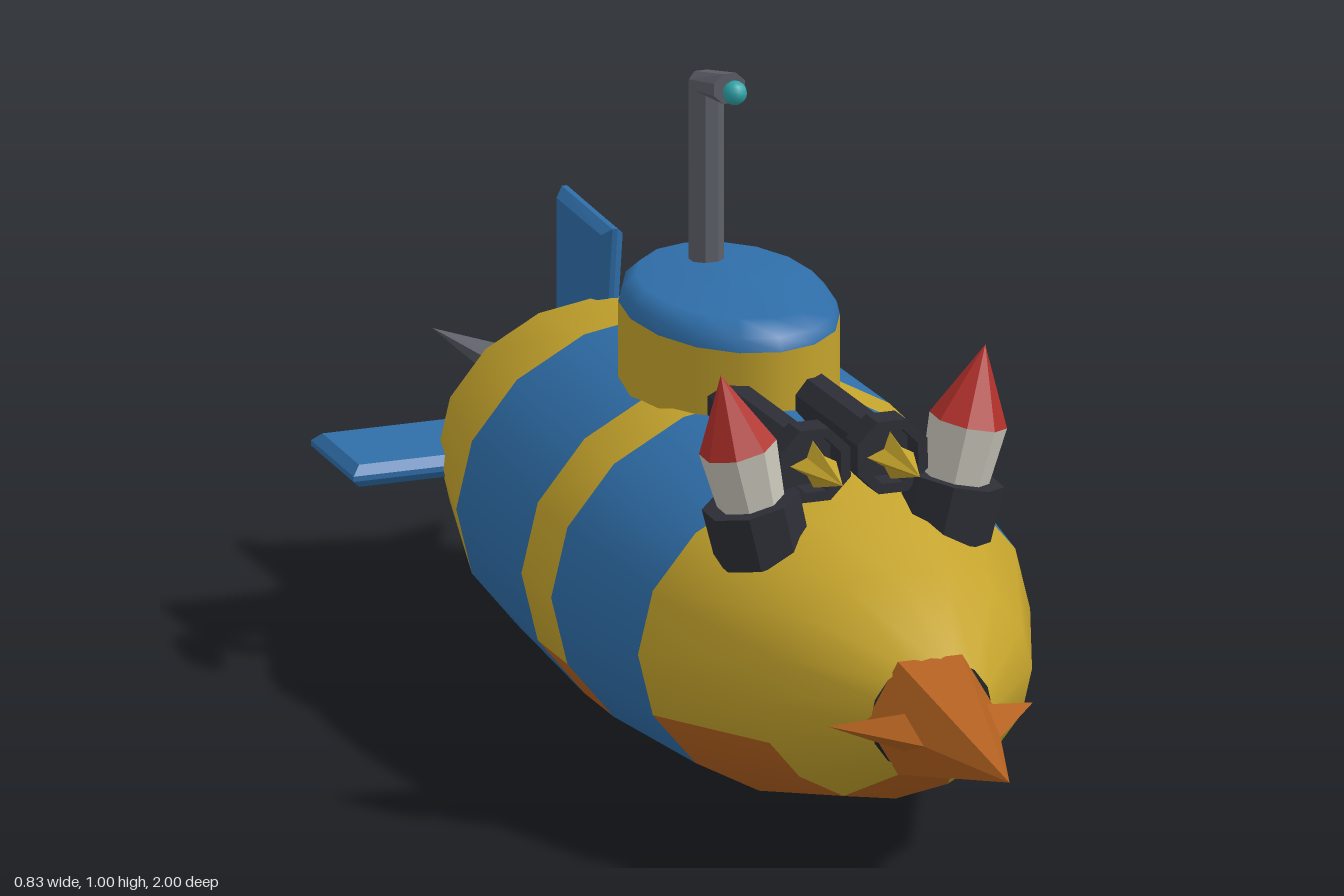
import * as THREE from 'three';
import { ConvexGeometry } from 'three/addons/geometries/ConvexGeometry.js';

const AXIS_Y = 0.28;
const V = (x, y, z) => new THREE.Vector3(x, y, z);
const paint = (color, flat = true, side = THREE.FrontSide) =>
  new THREE.MeshStandardMaterial({ color, flatShading: flat, side });

const YELLOW = 0xc4a32c, BLUE = 0x2f6ea9, ORANGE = 0xb3611f, DARK = 0x2d2e36;
const GREY = 0x5d6069, WHITE = 0xc9c5ba, RED = 0xb2302b, TEAL = 0x2fa3a8;

function add(parent, name, geometry, material) {
  const mesh = new THREE.Mesh(geometry, material);
  mesh.name = name;
  parent.add(mesh);
  return mesh;
}

// Closed ring of n points around the z axis; radius(i) gives [rx, ry, z]
function ring(n, start, radius) {
  return Array.from({ length: n }, (_, i) => {
    const a = start + (i / n) * Math.PI * 2;
    const [rx, ry, z] = radius(i);
    return V(rx * Math.cos(a), AXIS_Y + ry * Math.sin(a), z);
  });
}

// Skins a list of equal rings; slot(section, i) picks the material of each panel
function loft(rings, slot = () => 0) {
  const n = rings[0].length, lists = [];
  for (let k = 0; k < rings.length - 1; k++) {
    for (let i = 0; i < n; i++) {
      const j = (i + 1) % n, a = k * n + i, b = k * n + j;
      (lists[slot(k, i)] ??= []).push(a, b, a + n, b, b + n, a + n);
    }
  }
  const geo = new THREE.BufferGeometry().setFromPoints(rings.flat());
  geo.setIndex(lists.flat());
  let start = 0;
  lists.forEach((list, m) => {
    geo.addGroup(start, list.length, m);
    start += list.length;
  });
  geo.computeVertexNormals();
  return geo;
}

// Thin plate with chamfered edges, outlined by [x, y] points
function plate(points, thickness) {
  const bevel = 0.013;
  const geo = new THREE.ExtrudeGeometry(
    new THREE.Shape(points.map(([x, y]) => new THREE.Vector2(x, y))), {
      depth: thickness - 2 * bevel, bevelSize: bevel, bevelOffset: -bevel,
      bevelThickness: bevel, bevelSegments: 1,
    });
  return geo.translate(0, 0, bevel - thickness / 2);
}

const lathe = (pts, sides) =>
  new THREE.LatheGeometry(pts.map(([r, y]) => new THREE.Vector2(r, y)), sides);

function buildHull(sub) {
  // [z, half width, half height] from stern to bow
  const sections = [
    [-0.89, 0, 0], [-0.865, 0.13, 0.11], [-0.72, 0.255, 0.21], [-0.46, 0.322, 0.266],
    [-0.15, 0.335, 0.277], [-0.03, 0.333, 0.275], [0.26, 0.305, 0.25],
    [0.52, 0.212, 0.175], [0.67, 0.095, 0.088],
  ];
  // Orange panels on each side of the keel, per section; -1 is a blue band
  const keel = [0, 2, 3, -1, 3, -1, 3, 1];
  const rings = sections.map(([z, rx, ry]) => ring(16, -Math.PI / 2, () => [rx, ry, z]));
  const geo = loft(rings, (k, i) =>
    keel[k] < 0 ? 1 : Math.min(i, 15 - i) < keel[k] ? 2 : 0);
  add(sub, 'hull', geo, [YELLOW, BLUE, ORANGE].map((c) => paint(c, false)));
}

function buildNose(sub) {
  const nose = ring(6, 0, () => [0.1, 0.1, 0.665]);
  add(sub, 'noseSpike', new ConvexGeometry([...nose, V(0, AXIS_Y, 1)]), paint(ORANGE));
  for (const s of [1, -1]) {
    add(sub, 'noseBarb', new ConvexGeometry([
      V(s * 0.16, AXIS_Y, 0.665), V(s * 0.045, AXIS_Y, 0.82), V(s * 0.07, AXIS_Y, 0.7),
      V(s * 0.05, AXIS_Y + 0.033, 0.74), V(s * 0.05, AXIS_Y - 0.033, 0.74),
    ]), paint(ORANGE));
  }
}

function buildTower(sub) {
  const tower = new THREE.Group();
  tower.name = 'tower';
  tower.position.z = -0.183;
  sub.add(tower);
  const wall = add(tower, 'towerWall', lathe([[1, 0.48], [1, 0.64]], 16), paint(YELLOW, false));
  const cap = add(tower, 'towerCap',
    lathe([[1, 0.64], [0.97, 0.66], [0.84, 0.682], [0, 0.69]], 16), paint(BLUE, false));
  for (const part of [wall, cap]) part.scale.set(0.153, 1, 0.22);

  // Periscope: octagonal pipe with a mitred bend, looking forward
  const bend = [
    [V(0, 0.66, -0.278), V(0, 0, 0.023)],
    [V(0, 0.956, -0.278), V(0, -0.012, 0.023)],
    [V(0, 0.978, -0.18), V(0, -0.023, 0)],
    [V(0, 0.978, -0.18), V(0, 0, 0)],
  ];
  const rings = bend.map(([c, d]) => Array.from({ length: 8 }, (_, i) => {
    const a = -((i + 0.5) / 8) * Math.PI * 2;
    return c.clone().addScaledVector(d, 1.08 * Math.sin(a)).add(V(0.026 * Math.cos(a), 0, 0));
  }));
  add(sub, 'periscope', loft(rings), paint(GREY, true, THREE.DoubleSide));
  add(sub, 'periscopeLens', new THREE.SphereGeometry(0.018, 12, 8), paint(TEAL, false))
    .position.set(0, 0.978, -0.158);
}

function buildFins(sub) {
  for (const s of [1, -1]) {
    const outline = [[0.1, -0.82], [0.415, -0.82], [0.415, -0.64], [0.1, -0.64]];
    add(sub, 'sideFin', plate(outline.map(([x, z]) => [s * x, z]), 0.034).rotateX(Math.PI / 2),
      paint(BLUE)).position.y = AXIS_Y;
  }
  const tail = [[0.7, 0.36], [0.877, 0.36], [0.877, 0.61], [0.663, 0.61]];
  add(sub, 'tailFin', plate(tail, 0.034).rotateY(Math.PI / 2), paint(BLUE));
}

function buildPropeller(sub) {
  // Three-pointed star: tips on even points, valleys on odd points
  add(sub, 'propeller', loft([
    ring(6, Math.PI / 6, () => [0, 0, -1]),
    ring(6, Math.PI / 6, (i) => (i % 2 ? [0.045, 0.045, -0.955] : [0.19, 0.19, -0.987])),
    ring(6, Math.PI / 6, () => [0.025, 0.025, -0.87]),
  ]), paint(GREY));
}

// Barrel with flared hollow muzzle and a star-shaped harpoon head, pointing +z
function buildCannon(sub, s) {
  const cannon = new THREE.Group();
  cannon.name = 'cannon';
  cannon.position.set(s * 0.06, 0.552, -0.03);
  cannon.rotation.x = -0.045;
  sub.add(cannon);
  const profile = [[0, 0], [0.038, 0], [0.038, 0.31], [0.059, 0.325], [0.059, 0.375],
    [0.043, 0.375], [0.043, 0.33], [0, 0.33]];
  add(cannon, 'barrel', lathe(profile, 8).rotateY(Math.PI / 8).rotateX(Math.PI / 2), paint(DARK));
  const head = loft([
    ring(8, 0, () => [0, 0, 0.345]),
    ring(8, 0, (i) => (i % 2 ? [0.019, 0.019, 0.375] : [0.036, 0.036, 0.365])),
    ring(8, 0, () => [0, 0, 0.49]),
  ]).translate(0, -AXIS_Y, 0);
  add(cannon, 'harpoonHead', head, paint(YELLOW));
}

// Upright rocket in a dark holder, leaning outward
function buildRocket(sub, s) {
  const rocket = new THREE.Group();
  rocket.name = 'rocket';
  rocket.position.set(s * 0.14, 0.443, 0.34);
  rocket.rotation.z = -s * 0.23;
  sub.add(rocket);
  const stage = (name, top, bottom, y0, y1, color) => add(rocket, name,
    new THREE.CylinderGeometry(top, bottom, y1 - y0, 8).rotateY(Math.PI / 8),
    paint(color)).position.y = (y0 + y1) / 2;
  stage('rocketHolder', 0.073, 0.071, 0, 0.085, DARK);
  stage('rocketBody', 0.058, 0.05, 0.08, 0.172, WHITE);
  stage('rocketTip', 0, 0.058, 0.172, 0.288, RED);
}

export function createModel() {
  const sub = new THREE.Group();
  sub.name = 'submarine';
  buildHull(sub);
  buildNose(sub);
  buildTower(sub);
  buildFins(sub);
  buildPropeller(sub);
  for (const s of [1, -1]) {
    buildCannon(sub, s);
    buildRocket(sub, s);
  }
  return sub;
}
